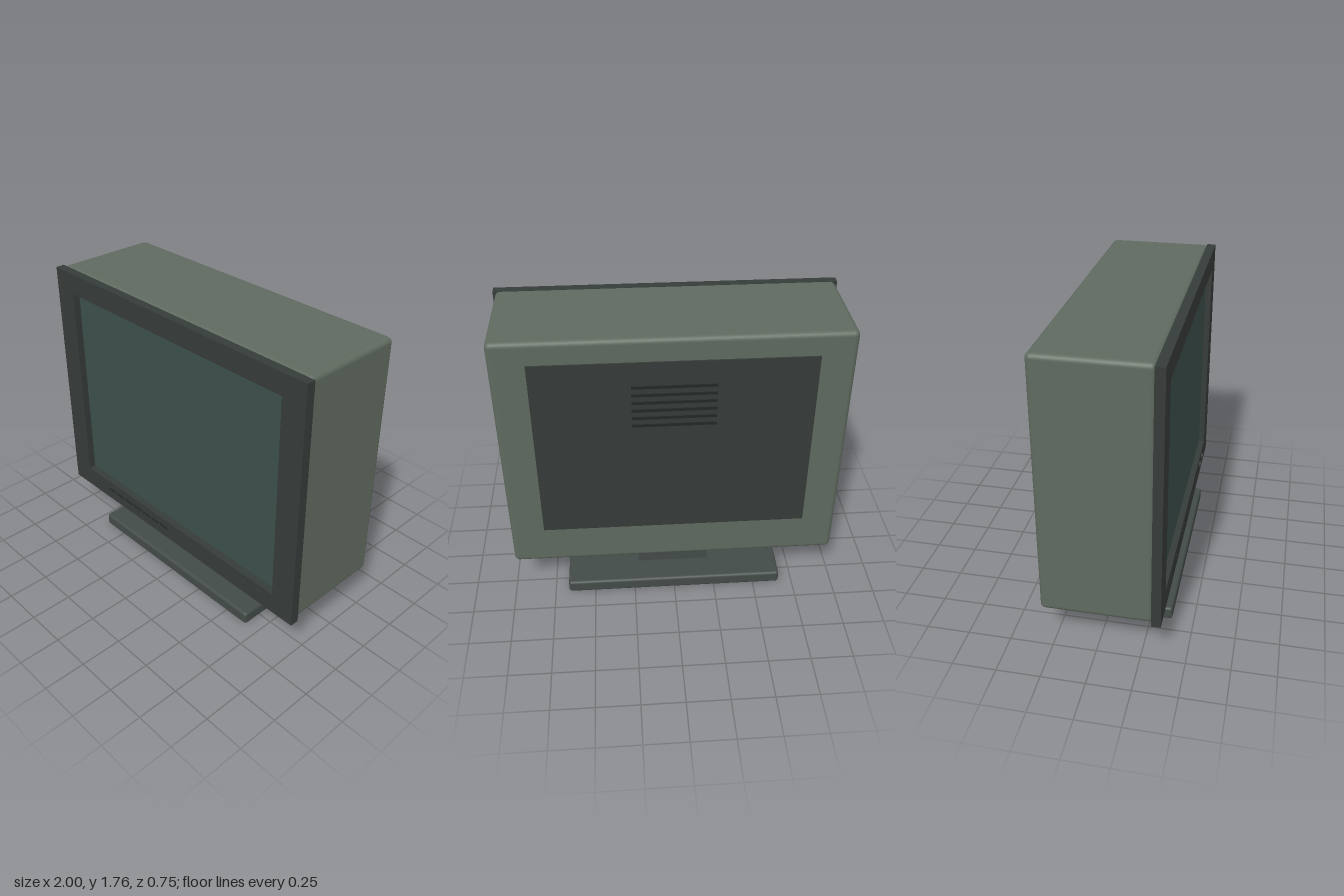
import * as THREE from 'three';
import { RoundedBoxGeometry } from 'three/addons/geometries/RoundedBoxGeometry.js';

const material = (color) => new THREE.MeshStandardMaterial({ color });

export function createModel() {
  const model = new THREE.Group();
  model.name = 'monitor';
  const shell = material(0x5f6a5f);
  const dark = material(0x363c3a);
  const stand = material(0x434b48);
  const glass = material(0x3c4f4c);
  const black = material(0x222726);

  const add = (name, geometry, mat, x = 0, y = 0, z = 0, parent = model) => {
    const mesh = new THREE.Mesh(geometry, mat);
    mesh.name = name;
    mesh.position.set(x, y, z);
    parent.add(mesh);
    return mesh;
  };
  // Box given by its lower and upper corners, with optional rounded edges
  const box = (name, mat, [x0, y0, z0], [x1, y1, z1], radius = 0, parent = model) => {
    const size = [x1 - x0, y1 - y0, z1 - z0];
    const geometry = radius
      ? new RoundedBoxGeometry(...size, 4, radius)
      : new THREE.BoxGeometry(...size);
    return add(name, geometry, mat, (x0 + x1) / 2, (y0 + y1) / 2, (z0 + z1) / 2, parent);
  };
  const group = (name) => {
    const g = new THREE.Group();
    g.name = name;
    model.add(g);
    return g;
  };

  // Deep casing and stand
  box('casing', shell, [-0.985, 0.235, -0.32], [0.985, 1.765, 0.315], 0.03);
  box('base', stand, [-0.665, 0, -0.375], [0.665, 0.08, 0.375], 0.018);
  box('neck', stand, [-0.22, 0.07, -0.205], [0.22, 0.25, 0.14]);

  // Front frame with the screen opening
  const frame = new THREE.Shape();
  frame.moveTo(-1, 0.23).lineTo(1, 0.23).lineTo(1, 1.76).lineTo(-1, 1.76).closePath();
  const opening = new THREE.Path();
  opening.moveTo(-0.848, 0.36).lineTo(-0.848, 1.632).lineTo(0.848, 1.632).lineTo(0.848, 0.36).closePath();
  frame.holes.push(opening);
  add('frontFrame', new THREE.ExtrudeGeometry(frame, { depth: 0.054, bevelEnabled: false }), dark, 0, 0, 0.306);

  // Recessed screen
  box('screen', glass, [-0.835, 0.372, 0.3], [0.835, 1.62, 0.325]);

  // Row of buttons and two round knobs
  const buttons = group('buttons');
  for (let i = 0; i < 7; i++) {
    const x = -0.6 + i * 0.0873;
    box('button', black, [x - 0.036, 0.296, 0.35], [x + 0.036, 0.311, 0.364], 0.004, buttons);
  }
  const knobs = group('knobs');
  for (const x of [0.622, 0.735]) {
    const knob = new THREE.CylinderGeometry(0.022, 0.022, 0.02, 24).rotateX(Math.PI / 2);
    add('knob', knob, dark, x, 0.303, 0.358, knobs);
  }

  // Back cover with ventilation slats
  box('backPanel', dark, [-0.785, 0.49, -0.329], [0.785, 1.63, -0.31]);
  const vents = group('vents');
  for (let i = 0; i < 6; i++) {
    const y = 1.23 + i * 0.0495;
    box('ventSlat', black, [-0.235, y - 0.008, -0.335], [0.235, y + 0.008, -0.32], 0, vents);
  }
  return model;
}
